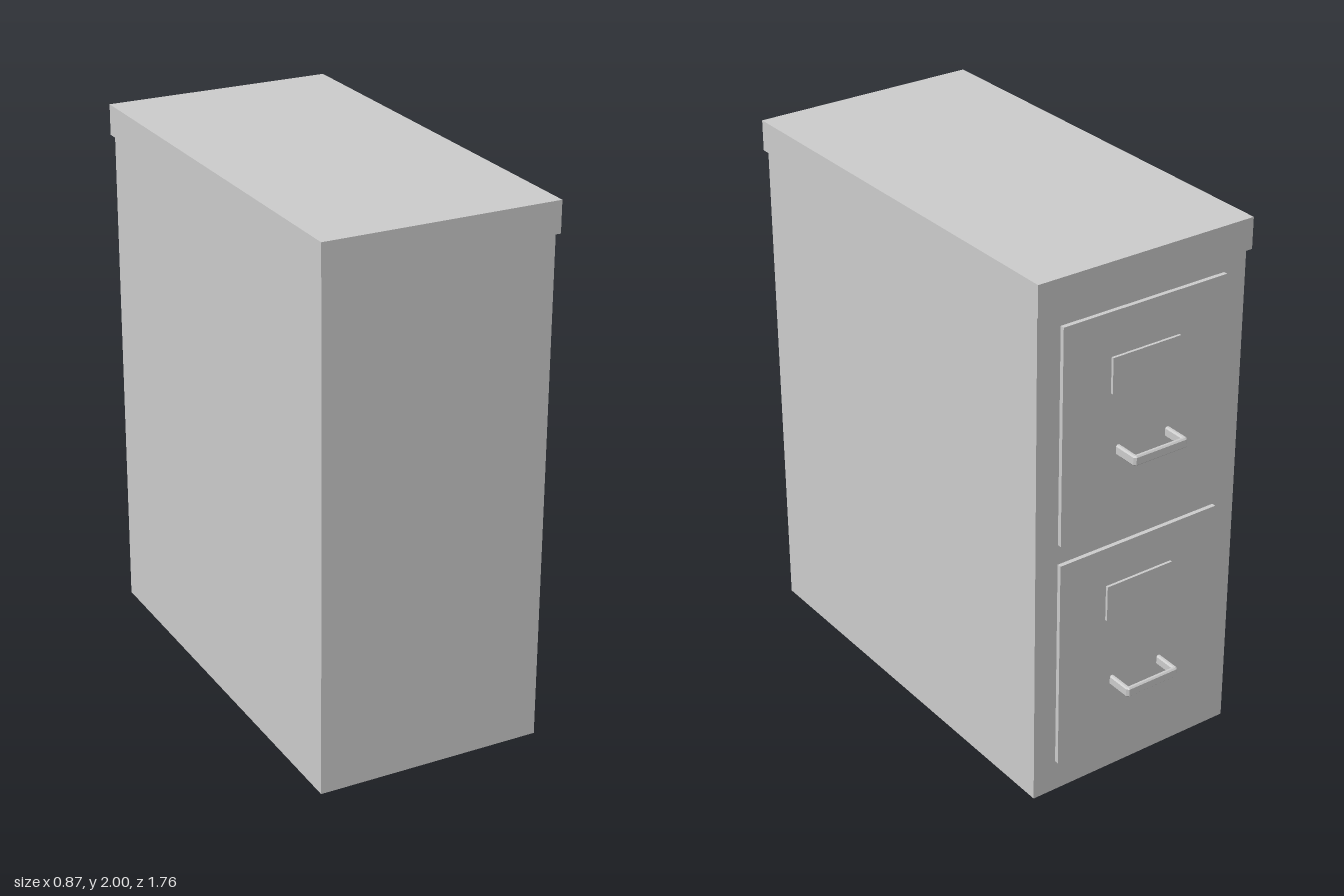
import * as THREE from 'three';

const material = new THREE.MeshStandardMaterial({ color: 0xcccccc, flatShading: true });

// Box given by its extents on each axis
function box(name, [x0, x1], [y0, y1], [z0, z1]) {
  const mesh = new THREE.Mesh(new THREE.BoxGeometry(x1 - x0, y1 - y0, z1 - z0), material);
  mesh.position.set((x0 + x1) / 2, (y0 + y1) / 2, (z0 + z1) / 2);
  mesh.name = name;
  return mesh;
}

// U-shaped pull with chamfered corners and edges, projecting towards -z
function createHandle(y) {
  const w = 0.113, t = 0.018, c = 0.008, near = 0.765, far = 0.88, height = 0.037, bevel = 0.005;
  const outline = [
    [-w, near], [-w + t, near], [-w + t, far - t], [w - t, far - t], [w - t, near],
    [w, near], [w, far - c], [w - c, far], [-w + c, far], [-w, far - c],
  ].map(([x, d]) => new THREE.Vector2(x, d));
  const geometry = new THREE.ExtrudeGeometry(new THREE.Shape(outline), {
    depth: height - 2 * bevel,
    bevelSize: bevel,
    bevelThickness: bevel,
    bevelOffset: -bevel,
    bevelSegments: 1,
  });
  geometry.translate(0, 0, bevel - height / 2);
  geometry.rotateX(-Math.PI / 2);
  const handle = new THREE.Mesh(geometry, material);
  handle.position.y = y;
  handle.name = 'handle';
  return handle;
}

// Drawer front with its label plate and handle
function createDrawer(name, front, label, handleY) {
  const drawer = new THREE.Group();
  drawer.name = name;
  drawer.add(
    box('drawerFront', [-0.335, 0.335], front, [-0.78, -0.755]),
    box('labelPlate', [-0.14, 0.14], label, [-0.79, -0.77]),
    createHandle(handleY),
  );
  return drawer;
}

export function createModel() {
  const cabinet = new THREE.Group();
  cabinet.name = 'filingCabinet';
  cabinet.add(
    box('body', [-0.427, 0.427], [0, 1.885], [-0.764, 0.865]),
    box('top', [-0.437, 0.437], [1.885, 2], [-0.781, 0.88]),
    createDrawer('upperDrawer', [1.012, 1.823], [1.528, 1.66], 1.307),
    createDrawer('lowerDrawer', [0.122, 0.935], [0.647, 0.784], 0.384),
  );
  return cabinet;
}
